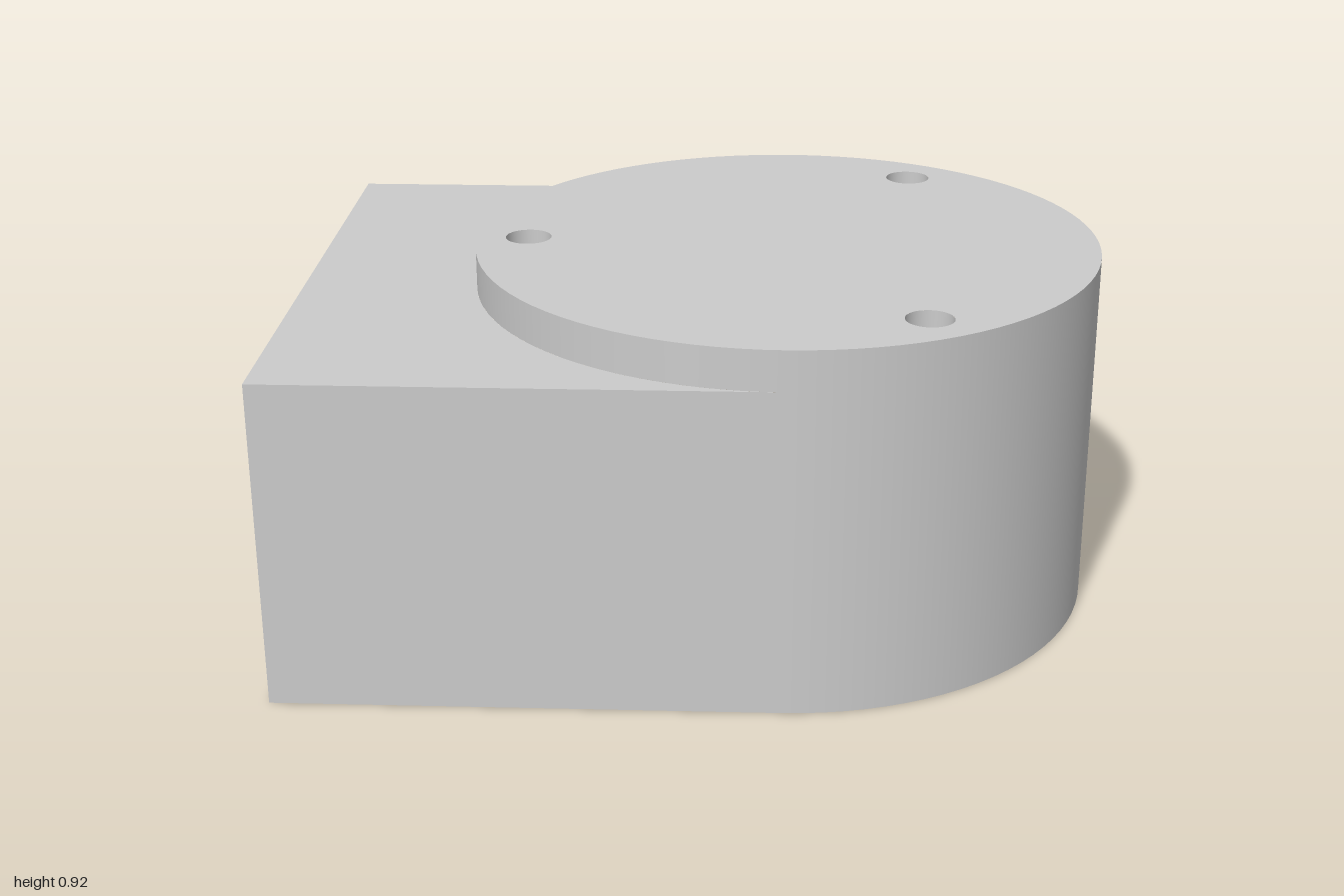
import * as THREE from 'three';

const CX = 0.215;      // centre of the round end
const R = 0.785;       // radius of the round end, half width of the block
const BLOCK_H = 0.815;
const TOP_H = 0.915;
const HOLE_R = 0.058;
const HOLE_RING = 0.657;
const HOLE_DEPTH = 0.25;
const SEG = 96;

export function createModel() {
  const model = new THREE.Group();
  const grey = new THREE.MeshStandardMaterial({ color: 0xcccccc });
  const inner = new THREE.MeshStandardMaterial({ color: 0xcccccc, side: THREE.BackSide });

  const add = (name, geometry, x = 0, y = 0, z = 0, material = grey) => {
    const mesh = new THREE.Mesh(geometry, material);
    mesh.name = name;
    mesh.position.set(x, y, z);
    model.add(mesh);
  };

  // Three screw holes, evenly spaced around the disc
  const holes = [Math.PI / 3, Math.PI, -Math.PI / 3].map((a) => [
    CX + HOLE_RING * Math.cos(a), HOLE_RING * Math.sin(a),
  ]);
  const punch = (shape) => {
    for (const [x, z] of holes) {
      shape.holes.push(new THREE.Path().absarc(x, z, HOLE_R, 0, Math.PI * 2, true));
    }
    return shape;
  };

  // Underside: square at one end, round at the other
  const outline = new THREE.Shape();
  outline.moveTo(-1, -R);
  outline.lineTo(CX, -R);
  outline.absarc(CX, 0, R, -Math.PI / 2, Math.PI / 2, false);
  outline.lineTo(-1, R);
  outline.closePath();
  add('underside', new THREE.ShapeGeometry(punch(outline), SEG / 2).rotateX(Math.PI / 2));

  // Raised disc top
  const disc = new THREE.Shape().absarc(CX, 0, R, 0, Math.PI * 2, false);
  add('discTop', new THREE.ShapeGeometry(punch(disc), SEG / 2).rotateX(-Math.PI / 2), 0, TOP_H);

  // Block top left around the disc
  const shoulder = new THREE.Shape();
  shoulder.moveTo(CX, -R);
  shoulder.lineTo(-1, -R);
  shoulder.lineTo(-1, R);
  shoulder.lineTo(CX, R);
  shoulder.absarc(CX, 0, R, Math.PI / 2, Math.PI * 1.5, false);
  add('blockTop', new THREE.ShapeGeometry(shoulder, SEG / 2).rotateX(-Math.PI / 2), 0, BLOCK_H);

  // Flat block walls
  const length = CX + 1;
  for (const side of [1, -1]) {
    const wall = new THREE.PlaneGeometry(length, BLOCK_H).rotateY(side > 0 ? 0 : Math.PI);
    add('sideWall', wall, CX - length / 2, BLOCK_H / 2, side * R);
  }
  add('endWall', new THREE.PlaneGeometry(2 * R, BLOCK_H).rotateY(-Math.PI / 2), -1, BLOCK_H / 2, 0);

  // Round end wall, and the disc rim standing above the block
  const rimH = TOP_H - BLOCK_H;
  add('roundWall', new THREE.CylinderGeometry(R, R, TOP_H, SEG / 2, 1, true, 0, Math.PI), CX, TOP_H / 2);
  add('discRim', new THREE.CylinderGeometry(R, R, rimH, SEG / 2, 1, true, Math.PI, Math.PI), CX, BLOCK_H + rimH / 2);

  // Blind holes from above and below
  for (const [x, z] of holes) {
    for (const top of [true, false]) {
      const floorY = top ? TOP_H - HOLE_DEPTH : HOLE_DEPTH;
      const midY = top ? TOP_H - HOLE_DEPTH / 2 : HOLE_DEPTH / 2;
      add('holeWall', new THREE.CylinderGeometry(HOLE_R, HOLE_R, HOLE_DEPTH, SEG / 2, 1, true), x, midY, z, inner);
      add('holeFloor', new THREE.CircleGeometry(HOLE_R, SEG / 2).rotateX(top ? -Math.PI / 2 : Math.PI / 2), x, floorY, z);
    }
  }
  return model;
}
